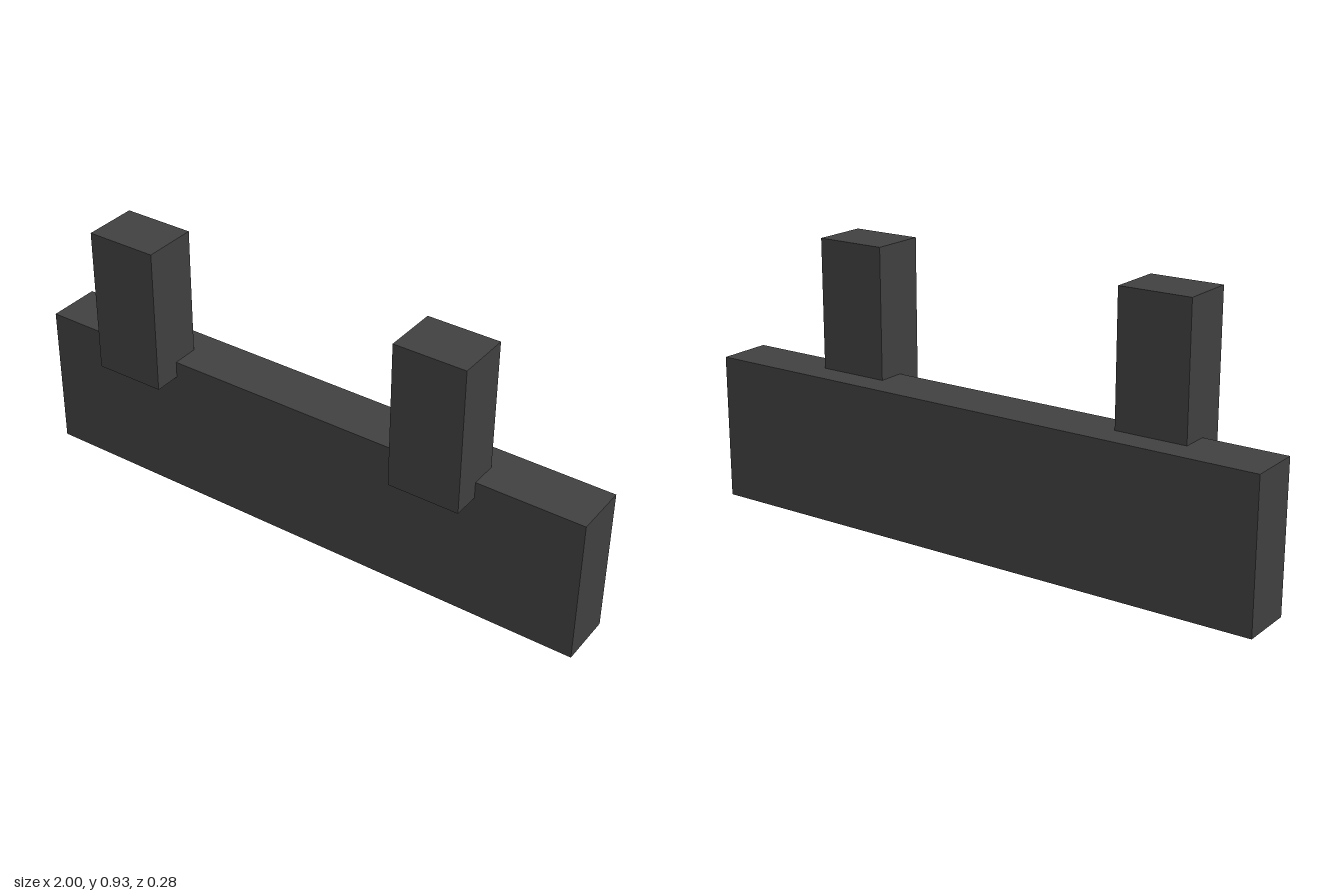
import * as THREE from 'three';

export function createModel() {
  const group = new THREE.Group();
  const material = new THREE.MeshStandardMaterial({ color: 0x404040, flatShading: true });

  // Box given by its minimum and maximum corners
  function addBox(name, min, max) {
    const size = max.map((v, i) => v - min[i]);
    const mesh = new THREE.Mesh(new THREE.BoxGeometry(...size), material);
    mesh.position.set(...max.map((v, i) => (v + min[i]) / 2));
    mesh.name = name;
    group.add(mesh);
  }

  // Long horizontal beam
  addBox('beam', [-1, 0, -0.139], [1, 0.494, 0.046]);

  // Two upright posts, set slightly into the beam and overhanging its front
  const posts = { rightPost: -0.6, leftPost: 0.518 };
  for (const [name, x] of Object.entries(posts)) {
    addBox(name, [x - 0.121, 0.438, -0.046], [x + 0.121, 0.931, 0.139]);
  }

  return group;
}
